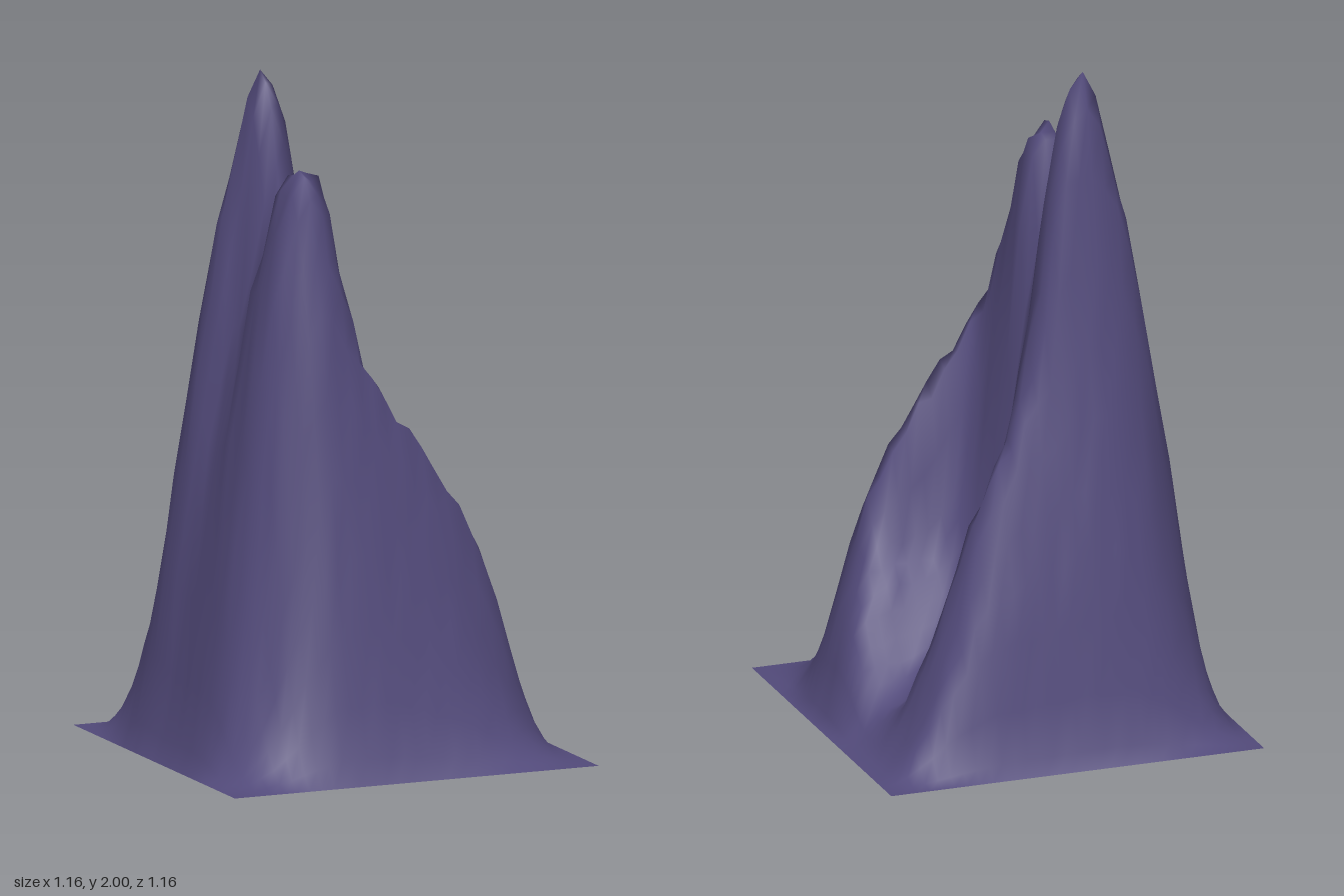
import * as THREE from 'three';

const HALF = 0.58, SEGMENTS = 29;

// Height cross-sections from back to front; the foot and rim are added by rule
const xs = [-0.42, -0.28, -0.18, -0.1, -0.02, 0.08, 0.2, 0.34, 0.46];
const zs = [-0.44, -0.28, -0.22, -0.14, -0.06, 0.02, 0.07, 0.18, 0.28, 0.38];
const backSlope = [0.18, 0.44, 0.52, 0.53, 0.5, 0.47, 0.43, 0.28, 0.09];
const backRidge = [0.58, 1.18, 1.32, 1.28, 1.16, 0.98, 0.76, 0.36, 0.09];
const backShoulder = [0.78, 1.52, 1.7, 1.68, 1.36, 0.97, 0.54, 0.22, 0.08];
const summit = [0.84, 1.66, 2, 1.84, 1.32, 0.75, 0.35, 0.14, 0.08];
const summitFront = [0.72, 1.38, 1.9, 1.6, 1.03, 0.53, 0.26, 0.16, 0.14];
const notch = [0.7, 1.33, 1.58, 1.42, 0.95, 0.47, 0.3, 0.25, 0.22];
const frontPeak = [0.72, 1.46, 1.74, 1.73, 1.1, 0.51, 0.36, 0.34, 0.27];
const frontShoulder = [0.7, 1.5, 1.74, 1.6, 1.16, 0.66, 0.5, 0.48, 0.29];
const frontRidge = [0.53, 1.18, 1.44, 1.34, 1.17, 1.03, 0.86, 0.6, 0.21];
const frontSlope = [0.23, 0.66, 0.86, 0.86, 0.8, 0.7, 0.55, 0.29, 0.08];

// Smooth curve through the stations that never overshoots them
function interpolate(stations, values, t) {
  const n = stations.length;
  const slope = (i) => (values[i + 1] - values[i]) / (stations[i + 1] - stations[i]);
  const tangent = (i) => {
    if (i === 0 || i === n - 1) return 0;
    const a = slope(i - 1), b = slope(i);
    return a * b <= 0 ? 0 : (2 * a * b) / (a + b);
  };
  let i = 0;
  while (i < n - 2 && t > stations[i + 1]) i++;
  const d = stations[i + 1] - stations[i];
  const u = (t - stations[i]) / d, u2 = u * u, u3 = u2 * u;
  return (2 * u3 - 3 * u2 + 1) * values[i] + (u3 - 2 * u2 + u) * d * tangent(i)
    + (3 * u2 - 2 * u3) * values[i + 1] + (u3 - u2) * d * tangent(i + 1);
}

// Curve through a section, extended by the flared foot and the flat rim
function profile(stations, values, t) {
  const foot = 0.07;
  return interpolate(
    [-HALF, -0.545, ...stations, 0.545, HALF],
    [0, values[0] * foot, ...values, values[values.length - 1] * foot, 0],
    t,
  );
}

function heightAt(x, z) {
  const sections = [backSlope, backRidge, backShoulder, summit, summitFront, notch,
    frontPeak, frontShoulder, frontRidge, frontSlope];
  const y = profile(zs, sections.map((section) => profile(xs, section, x)), z);
  // light weathering, fading towards the foot and the summit
  const rough = 0.03 * Math.sin(x * 61 + z * 23) * Math.sin(z * 53 - x * 17);
  return Math.max(0, y + rough * Math.min(1, y) * THREE.MathUtils.clamp((1.9 - y) * 3, 0, 1));
}

export function createModel() {
  const group = new THREE.Group();
  group.name = 'mountain';

  // Square sheet raised into two peaks, two ridges and a valley opening to +x
  const geometry = new THREE.PlaneGeometry(2 * HALF, 2 * HALF, SEGMENTS, SEGMENTS);
  geometry.rotateX(-Math.PI / 2);
  const position = geometry.attributes.position;
  for (let i = 0; i < position.count; i++) {
    position.setY(i, heightAt(position.getX(i), position.getZ(i)));
  }
  geometry.computeVertexNormals();

  const material = new THREE.MeshStandardMaterial({ color: 0x524a7a, side: THREE.DoubleSide });
  const terrain = new THREE.Mesh(geometry, material);
  terrain.name = 'mountainSurface';
  group.add(terrain);
  return group;
}
